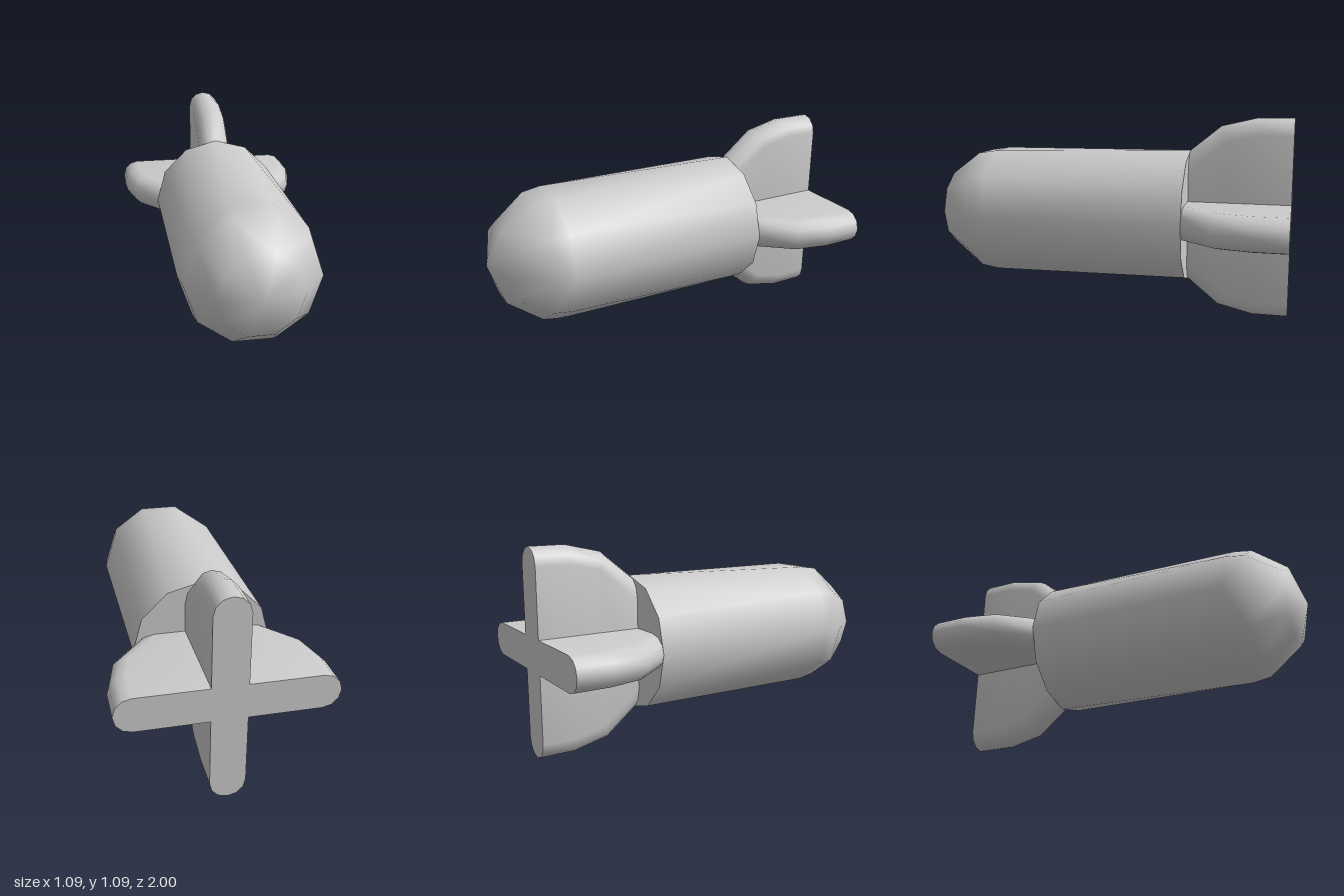
import * as THREE from 'three';
import { ConvexGeometry } from 'three/addons/geometries/ConvexGeometry.js';
import { toCreasedNormals } from 'three/addons/utils/BufferGeometryUtils.js';

const AXIS_Y = 0.546;
const CREASE = 0.8;

// Points of a regular ring around the z axis
function ring(sides, radius, z) {
  return Array.from({ length: sides }, (_, i) => {
    const a = (i / sides) * Math.PI * 2;
    return new THREE.Vector3(Math.cos(a) * radius, Math.sin(a) * radius, z);
  });
}

// Ten-sided nose running back into a twelve-sided tail end
function bodyGeometry() {
  return toCreasedNormals(new ConvexGeometry([
    new THREE.Vector3(0, 0, 1),
    ...ring(10, 0.212, 0.93),
    ...ring(10, 0.345, 0.75),
    ...ring(10, 0.361, 0.65),
    ...ring(12, 0.362, -0.45),
  ]), CREASE);
}

// Blade spanning both sides of the axis, with rounded outer edges
function bladeGeometry() {
  const half = 0.09, steps = 6;
  // z, outer radius, then how far the rounding runs back and inwards
  const stations = [
    [-0.45, 0.362, 0, 0.115],
    [-0.615, 0.497, 0.041, 0.082],
    [-0.81, 0.543, 0.011, 0.09],
    [-1, 0.543, 0, 0.09],
  ];
  const sections = stations.map(([z, r, backInset, inInset]) => {
    const loop = [];
    for (const side of [1, -1]) {
      for (let i = 0; i <= steps; i++) {
        const a = (i / steps) * Math.PI;
        const depth = 1 - Math.sin(a);
        loop.push([side * half * Math.cos(a), side * (r - depth * inInset), z - depth * backInset]);
      }
    }
    return loop;
  });

  const n = sections[0].length, last = sections.length - 1;
  const index = [];
  for (let s = 0; s < last; s++) {
    for (let j = 0; j < n; j++) {
      const a = s * n + j, b = s * n + (j + 1) % n;
      index.push(a, a + n, b, b, a + n, b + n);
    }
  }
  // Flat front and back ends
  for (let j = 1; j < n - 1; j++) {
    index.push(0, j, j + 1);
    index.push(last * n, last * n + j + 1, last * n + j);
  }
  const geometry = new THREE.BufferGeometry();
  geometry.setAttribute('position', new THREE.Float32BufferAttribute(sections.flat(2), 3));
  geometry.setIndex(index);
  return toCreasedNormals(geometry, CREASE);
}

export function createModel() {
  const group = new THREE.Group();
  const material = new THREE.MeshStandardMaterial({ color: 0xcccccc });
  const add = (name, geometry, turn = 0) => {
    const mesh = new THREE.Mesh(geometry, material);
    mesh.name = name;
    mesh.position.y = AXIS_Y;
    mesh.rotation.z = turn;
    group.add(mesh);
  };

  add('body', bodyGeometry());

  // Crossed tail fins
  const blade = bladeGeometry();
  add('verticalFins', blade);
  add('horizontalFins', blade, Math.PI / 2);
  return group;
}
